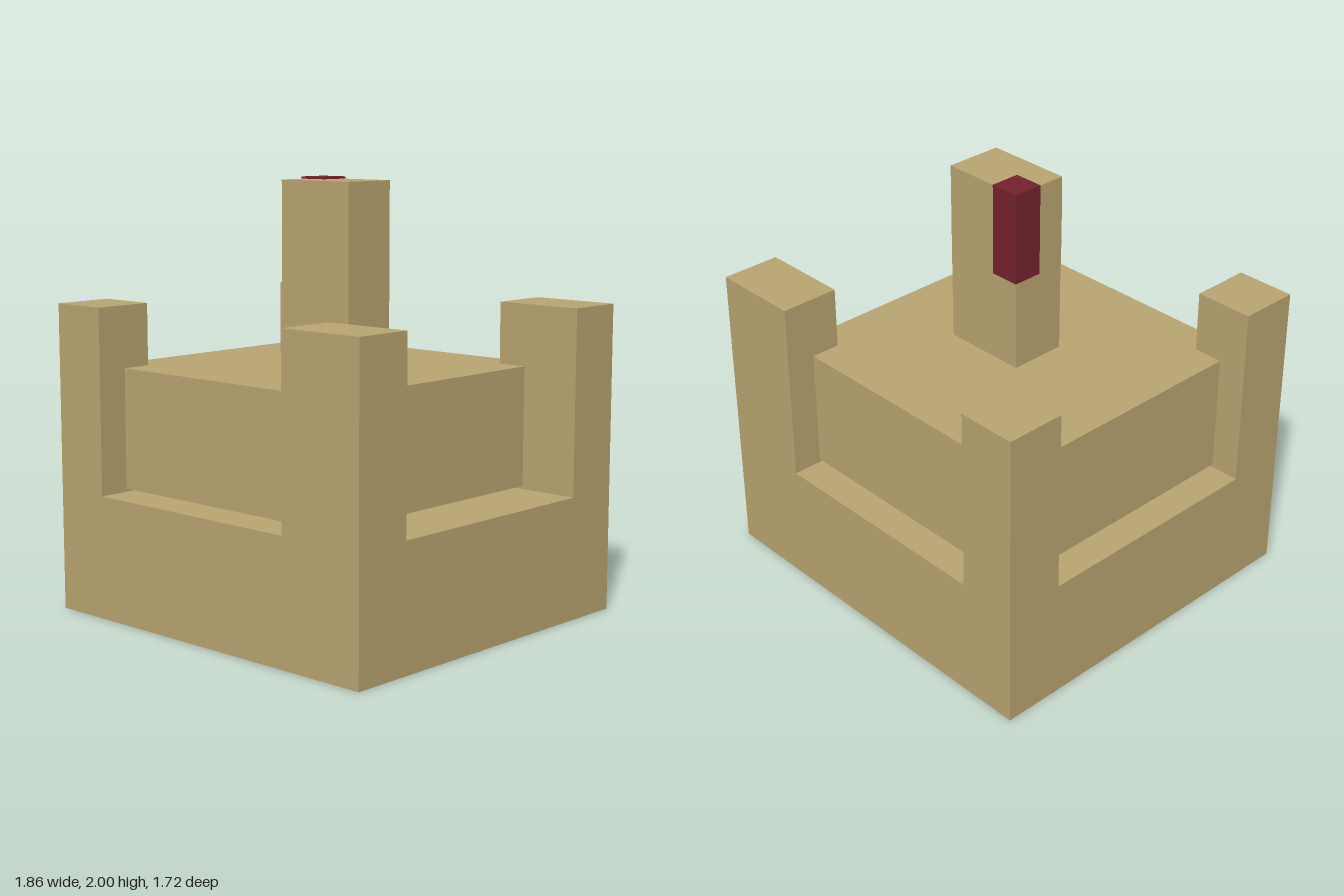
import * as THREE from 'three';

export function createModel() {
  const model = new THREE.Group();
  model.name = 'fort';

  const sandstone = new THREE.MeshStandardMaterial({ color: 0xb9a471 });
  sandstone.name = 'sandstone';
  const darkRed = new THREE.MeshStandardMaterial({ color: 0x73212e });
  darkRed.name = 'dark red';

  // Box given by its extents along each axis
  function block(name, material, [x0, x1], [y0, y1], [z0, z1]) {
    const mesh = new THREE.Mesh(new THREE.BoxGeometry(x1 - x0, y1 - y0, z1 - z0), material);
    mesh.position.set((x0 + x1) / 2, (y0 + y1) / 2, (z0 + z1) / 2);
    mesh.name = name;
    model.add(mesh);
  }

  // Solid foundation
  block('base', sandstone, [-0.928, 0.928], [0, 0.572], [-0.858, 0.858]);

  // Four corner towers, the left pair wider than the right pair
  const sidesX = { right: [-0.928, -0.645], left: [0.498, 0.928] };
  const sidesZ = { Front: [0.572, 0.858], Back: [-0.858, -0.577] };
  for (const [sideX, xs] of Object.entries(sidesX)) {
    for (const [sideZ, zs] of Object.entries(sidesZ)) {
      block(`${sideX}${sideZ}Tower`, sandstone, xs, [0.572, 1.43], zs);
    }
  }

  // Central keep, floating just above the foundation
  block('keep', sandstone, [-0.788, 0.641], [0.586, 1.143], [-0.717, 0.712]);

  // Tall turret on the keep
  block('turret', sandstone, [-0.202, 0.21], [1.143, 1.99], [-0.13, 0.142]);

  // Red block wrapped over the turret's back right corner
  block('banner', darkRed, [-0.215, -0.072], [1.575, 2], [-0.144, -0.001]);

  return model;
}
